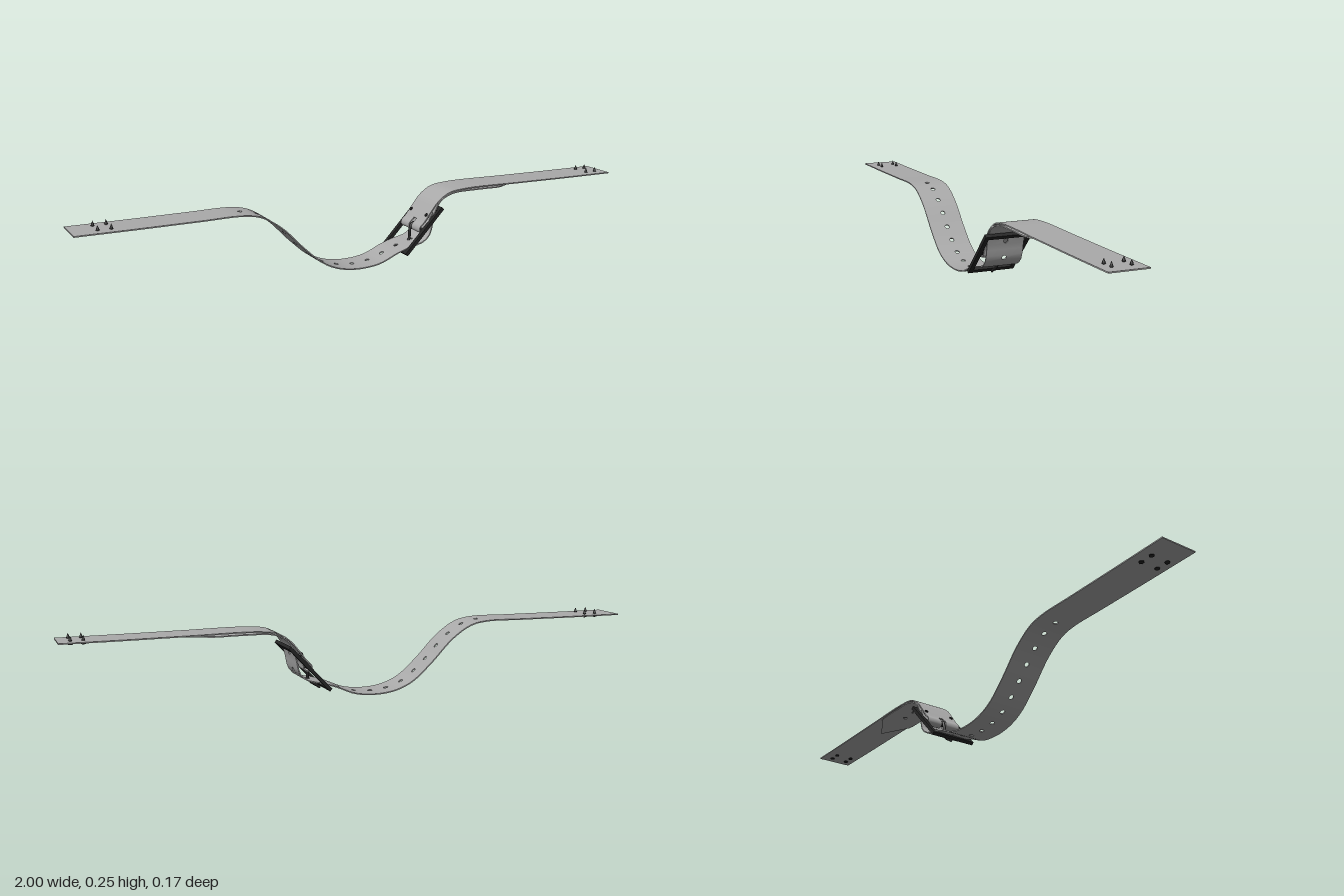
import * as THREE from 'three';
import { mergeGeometries } from 'three/addons/utils/BufferGeometryUtils.js';

const HALF = 0.065, THICK = 0.004;

const curve = pts => {
  const c = new THREE.CatmullRomCurve3(pts.map(([x, y]) => new THREE.Vector3(x, y, 0)));
  c.arcLengthDivisions = 1500;
  return c;
};

// One slice of strap between lengths a and b, with half widths wa and wb
function slice(a, b, wa, wb, inner = null) {
  const s = new THREE.Shape();
  const low = inner === null ? [-wa, -wb] : [inner, inner];
  s.moveTo(a, low[0]); s.lineTo(b, low[1]); s.lineTo(b, wb); s.lineTo(a, wa); s.closePath();
  return s;
}

function extrude(shape, depth) {
  const g = new THREE.ExtrudeGeometry(shape, { depth, bevelEnabled: false, curveSegments: 10 });
  g.translate(0, 0, -depth / 2);
  return g;
}

// Bends flat strap slices (length, width, thickness) along a path
function bend(shapes, path, length) {
  const g = mergeGeometries(shapes.map(s => extrude(s, THICK)));
  const p = g.attributes.position, n = g.attributes.normal;
  for (let i = 0; i < p.count; i++) {
    const u = THREE.MathUtils.clamp(p.getX(i) / length, 0, 1);
    const o = path.getPointAt(u), t = path.getTangentAt(u), d = p.getZ(i);
    p.setXYZ(i, o.x - t.y * d, o.y + t.x * d, -p.getY(i));
    const nx = n.getX(i), nz = n.getZ(i);
    n.setXYZ(i, t.x * nx - t.y * nz, t.y * nx + t.x * nz, -n.getY(i));
  }
  return g;
}

export function createModel() {
  const model = new THREE.Group();
  const leather = new THREE.MeshStandardMaterial({ color: 0xaaaaaa });
  leather.name = 'greyStrap';
  const metal = new THREE.MeshStandardMaterial({ color: 0x242424 });
  metal.name = 'blackMetal';
  const add = (name, geo, mat, parent = model) => {
    const m = new THREE.Mesh(geo, mat);
    m.name = name;
    parent.add(m);
    return m;
  };

  // Long strap: sags, threads the buckle, ends in a pointed tip
  const longPath = curve([[-1, 0.235], [-0.8, 0.235], [-0.6, 0.236], [-0.46, 0.236], [-0.4, 0.224],
    [-0.33, 0.18], [-0.25, 0.1], [-0.18, 0.04], [-0.12, 0.014], [-0.05, 0.0045], [0.03, 0.012],
    [0.1, 0.04], [0.15, 0.055], [0.2, 0.068], [0.226, 0.092], [0.239, 0.145], [0.25, 0.18],
    [0.273, 0.21], [0.32, 0.229], [0.4, 0.232], [0.5, 0.231], [0.62, 0.229]]);
  const longLen = longPath.getLength();
  const tip = 0.11, step = 0.02;
  const widthAt = s => HALF * Math.min(1, Math.max(0.02, (longLen - s) / tip));
  const cells = [];
  let pierced = longPath.getPointAt(0.7);
  for (let k = 0; k * step < longLen; k++) {
    const a = k * step, b = Math.min(longLen, a + step);
    const cell = slice(a, b, widthAt(a), widthAt(b));
    if (k >= 27 && k % 3 === 0 && b < longLen - tip - 0.03) {
      const hole = new THREE.Path();
      hole.absarc((a + b) / 2, 0, 0.008, 0, Math.PI * 2, true);
      cell.holes.push(hole);
      const at = longPath.getPointAt((a + b) / 2 / longLen);
      if (Math.abs(at.x - 0.165) < Math.abs(pierced.x - 0.165)) pierced = at;
    }
    cells.push(cell);
  }
  add('holedStrap', bend(cells, longPath, longLen), leather);

  // Short strap: folds around the buckle's centre bar, slotted for the prong
  const shortPath = curve([[1, 0.235], [0.8, 0.236], [0.6, 0.238], [0.36, 0.239], [0.3, 0.23],
    [0.258, 0.203], [0.228, 0.168], [0.202, 0.135], [0.187, 0.12], [0.186, 0.106], [0.198, 0.099],
    [0.21, 0.106], [0.215, 0.125], [0.226, 0.15], [0.237, 0.167]]);
  const shortLen = shortPath.getLength();
  const folds = [], fine = 0.005;
  for (let a = 0; a < shortLen; a += fine) {
    const b = Math.min(shortLen, a + fine);
    const p = shortPath.getPointAt((a + b) / 2 / shortLen);
    if (p.x < 0.213 && p.y < 0.14) {
      folds.push(slice(a, b, HALF, HALF, 0.009));
      const other = new THREE.Shape();
      other.moveTo(a, -HALF); other.lineTo(b, -HALF); other.lineTo(b, -0.009); other.lineTo(a, -0.009);
      folds.push(other);
    } else folds.push(slice(a, b, HALF, HALF));
  }
  add('bucklesideStrap', bend(folds, shortPath, shortLen), leather);

  // Buckle: tilted rectangular frame with a centre bar
  const buckle = new THREE.Group();
  buckle.name = 'buckle';
  buckle.position.set(0.195, 0.109, 0);
  buckle.rotation.z = THREE.MathUtils.degToRad(46.5);
  model.add(buckle);
  const rect = (S, x, y) => {
    const s = new S();
    s.moveTo(-x, -y); s.lineTo(x, -y); s.lineTo(x, y); s.lineTo(-x, y); s.closePath();
    return s;
  };
  const frame = rect(THREE.Shape, 0.1035, 0.083);
  frame.holes.push(rect(THREE.Path, 0.0875, 0.068));
  add('buckleFrame', extrude(frame, 0.012).rotateX(-Math.PI / 2), metal, buckle);
  add('centreBar', new THREE.CylinderGeometry(0.006, 0.006, 0.15, 12).rotateX(Math.PI / 2), metal, buckle)
    .position.set(0.003, 0, 0);
  for (const s of [-1, 1]) {
    add('barBoss', new THREE.BoxGeometry(0.04, 0.01, 0.006), metal, buckle).position.set(0.01, 0, s * 0.068);
  }

  // Prong: loops off the bar and passes through a strap hole
  const prongPath = new THREE.CatmullRomCurve3([
    new THREE.Vector3(0.21, 0.118, 0), new THREE.Vector3(0.192, 0.122, 0), new THREE.Vector3(0.182, 0.1, 0),
    new THREE.Vector3(pierced.x, pierced.y, 0), new THREE.Vector3(0.138, 0.032, 0)]);
  const prong = new THREE.TubeGeometry(prongPath, 24, 0.005, 8);
  add('prong', prong, metal);
  add('prongTip', new THREE.SphereGeometry(0.005, 8, 6), metal).position.set(0.138, 0.032, 0);

  // Rivets holding the fold
  for (const z of [-0.053, 0.053]) {
    const rivet = add('foldRivet', new THREE.CylinderGeometry(0.006, 0.006, 0.018, 10), metal);
    rivet.position.set(0.222, 0.155, z);
    rivet.rotation.z = THREE.MathUtils.degToRad(48);
  }

  // Spiked studs at both ends
  const profile = [[0, -0.011], [0.008, -0.009], [0.008, -0.006], [0.003, -0.004], [0.003, 0.001],
    [0.006, 0.003], [0.004, 0.009], [0, 0.019]].map(([x, y]) => new THREE.Vector2(x, y));
  const spike = new THREE.LatheGeometry(profile, 10);
  for (const x of [-0.92, -0.878, 0.92, 0.96]) {
    for (const z of [-0.03, 0.032]) add('spikeStud', spike, metal).position.set(x, 0.236, z);
  }
  return model;
}
